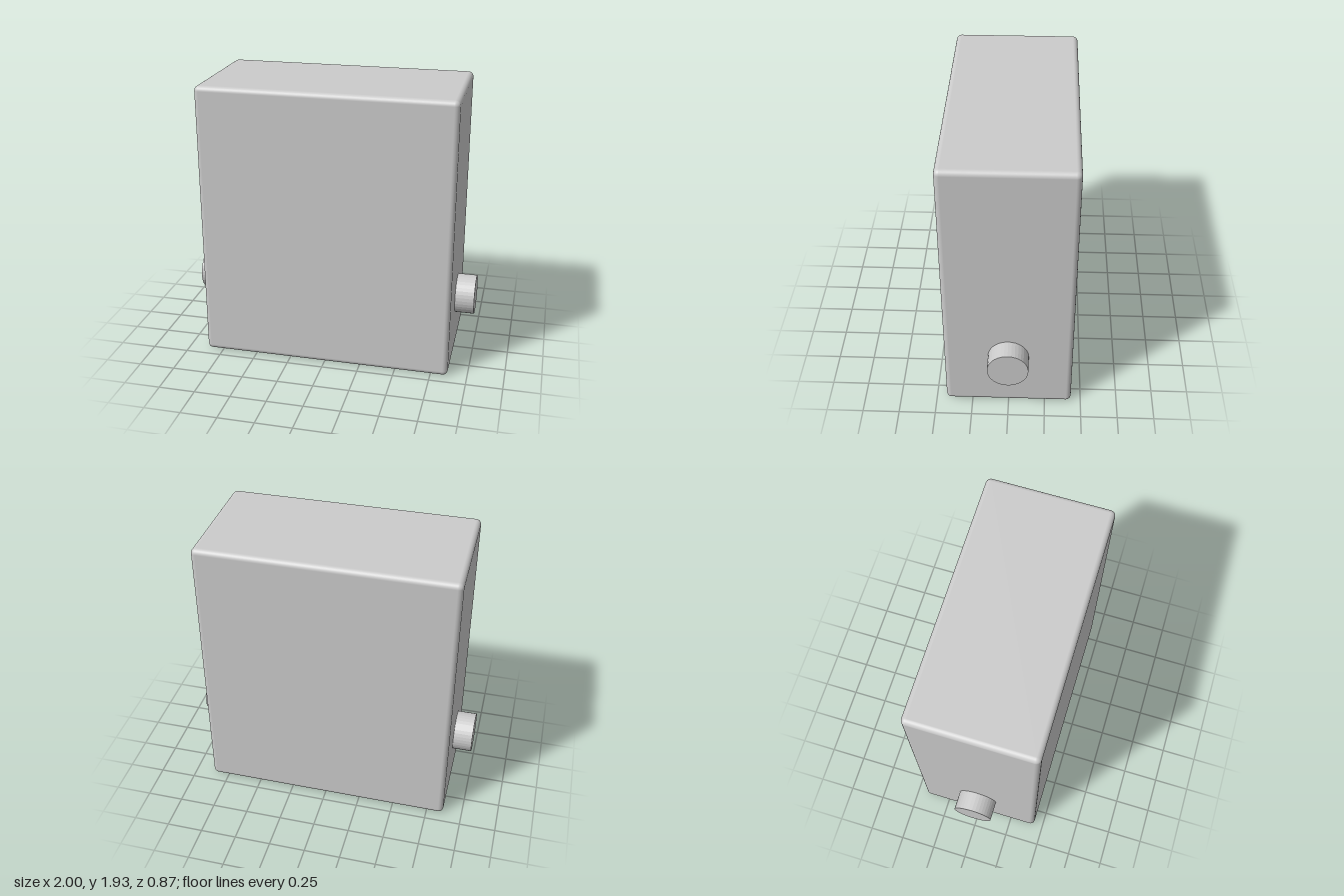
import * as THREE from 'three';
import { RoundedBoxGeometry } from 'three/addons/geometries/RoundedBoxGeometry.js';

const WIDTH = 1.735, HEIGHT = 1.935, DEPTH = 0.865, EDGE = 0.035;
const PIN_RADIUS = 0.137, PIN_Y = 0.435;

export function createModel() {
  const model = new THREE.Group();
  model.name = 'boxWithPins';

  // Upright body with softly rounded edges
  const body = new THREE.Mesh(
    new RoundedBoxGeometry(WIDTH, HEIGHT, DEPTH, 4, EDGE),
    new THREE.MeshStandardMaterial({ color: 0xcccccc })
  );
  body.name = 'body';
  body.position.y = HEIGHT / 2;
  model.add(body);

  // Round pins low on both sides, sunk slightly into the body
  const inner = WIDTH / 2 - 0.03;
  const pinGeometry = new THREE.CylinderGeometry(PIN_RADIUS, PIN_RADIUS, 1 - inner, 36);
  pinGeometry.rotateZ(-Math.PI / 2);
  const pinMaterial = new THREE.MeshStandardMaterial({ color: 0xcccccc, flatShading: true });
  for (const side of [1, -1]) {
    const pin = new THREE.Mesh(pinGeometry, pinMaterial);
    pin.name = side > 0 ? 'leftPin' : 'rightPin';
    pin.position.set(side * (1 + inner) / 2, PIN_Y, 0);
    model.add(pin);
  }
  return model;
}
